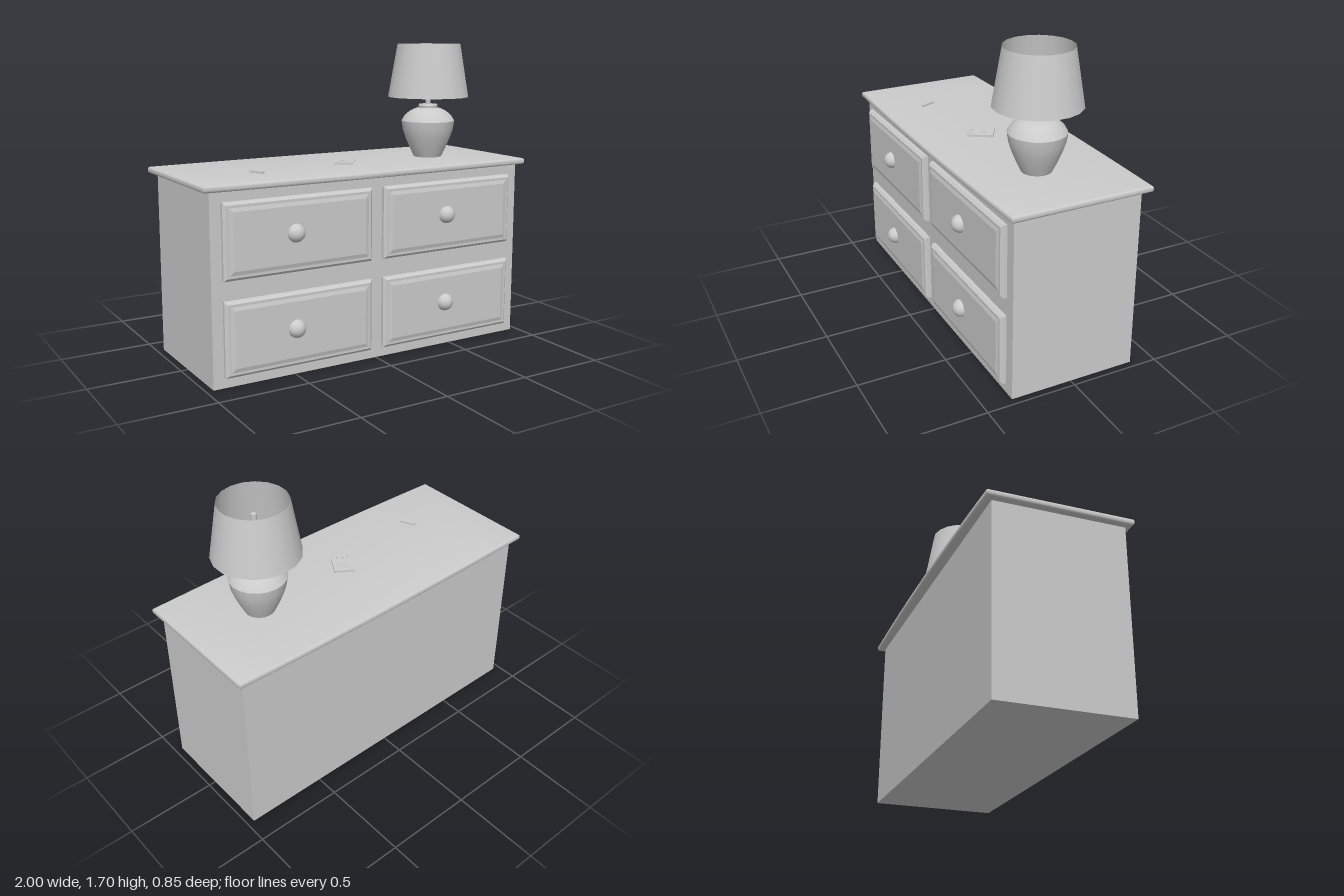
import * as THREE from 'three';
import { toCreasedNormals } from 'three/addons/utils/BufferGeometryUtils.js';

const material = new THREE.MeshStandardMaterial({ color: 0xcccccc });
const openMaterial = new THREE.MeshStandardMaterial({ color: 0xcccccc, side: THREE.DoubleSide });

function add(parent, name, geometry, x = 0, y = 0, z = 0, mat = material) {
  const mesh = new THREE.Mesh(geometry, mat);
  mesh.name = name;
  mesh.position.set(x, y, z);
  parent.add(mesh);
  return mesh;
}

// Rectangular panel stepped by [inset, z] sections and closed at the front
function steppedPanel(width, height, sections) {
  const rings = sections.map(([inset, z]) => {
    const w = width / 2 - inset, h = height / 2 - inset;
    return [[-w, -h, z], [w, -h, z], [w, h, z], [-w, h, z]];
  });
  const pos = [];
  const quad = (a, b, c, d) => pos.push(...a, ...b, ...c, ...a, ...c, ...d);
  for (let i = 0; i < rings.length - 1; i++) {
    for (let k = 0; k < 4; k++) {
      const n = (k + 1) % 4;
      quad(rings[i][k], rings[i][n], rings[i + 1][n], rings[i + 1][k]);
    }
  }
  quad(...rings[rings.length - 1]);
  const geometry = new THREE.BufferGeometry();
  geometry.setAttribute('position', new THREE.Float32BufferAttribute(pos, 3));
  geometry.computeVertexNormals();
  return geometry;
}

function lathe(points, segments) {
  const profile = points.map(([r, y]) => new THREE.Vector2(r, y));
  return toCreasedNormals(new THREE.LatheGeometry(profile, segments), 0.5);
}

// Table top with gently bowed front and back and a rounded edge
function topGeometry() {
  const shape = new THREE.Shape();
  shape.moveTo(-1, -0.375);
  shape.quadraticCurveTo(0, -0.41, 1, -0.375);
  shape.lineTo(1, 0.41);
  shape.quadraticCurveTo(0, 0.44, -1, 0.41);
  shape.closePath();
  const geometry = new THREE.ExtrudeGeometry(shape, {
    depth: 0.011, bevelThickness: 0.012, bevelSize: 0.012, bevelOffset: -0.012,
    bevelSegments: 3, curveSegments: 8,
  });
  geometry.rotateX(-Math.PI / 2);
  return toCreasedNormals(geometry, 0.6);
}

export function createModel() {
  const model = new THREE.Group();
  model.name = 'dresserWithLamp';

  // Cabinet
  add(model, 'cabinetBody', new THREE.BoxGeometry(1.92, 1.01, 0.714), 0, 0.505, -0.013);
  add(model, 'cabinetTop', topGeometry(), 0, 1.017, 0);

  // Drawers with knobs
  const panel = steppedPanel(0.86, 0.396, [[0, 0.34], [0, 0.362], [0.014, 0.375], [0.028, 0.375], [0.048, 0.381]]);
  const knob = new THREE.SphereGeometry(0.049, 20, 14);
  for (const [x, knobX] of [[-0.47, -0.505], [0.465, 0.44]]) {
    for (const [y, knobY] of [[0.253, 0.258], [0.753, 0.762]]) {
      const drawer = new THREE.Group();
      drawer.name = 'drawer';
      add(drawer, 'drawerFront', panel, x, y, 0);
      add(drawer, 'drawerKnob', knob, knobX, knobY, 0.377);
      model.add(drawer);
    }
  }

  // Lamp
  const lamp = new THREE.Group();
  lamp.name = 'lamp';
  lamp.position.set(0.572, 0, 0.007);
  model.add(lamp);
  add(lamp, 'lampBase', lathe([
    [0, 1.038], [0.08, 1.038], [0.105, 1.09], [0.13, 1.15], [0.147, 1.2], [0.155, 1.25],
    [0.135, 1.283], [0.105, 1.308], [0.07, 1.324], [0.054, 1.326], [0.056, 1.34], [0.052, 1.347], [0, 1.347],
  ], 20));
  add(lamp, 'lampStem', new THREE.CylinderGeometry(0.015, 0.015, 0.28, 12), 0, 1.48, 0);
  add(lamp, 'lampShade', new THREE.CylinderGeometry(0.183, 0.235, 0.305, 18, 1, true), 0, 1.543, 0, openMaterial);

  // Small pen stub
  const pen = add(model, 'penStub', new THREE.BoxGeometry(0.016, 0.012, 0.09), -0.588, 1.045, 0.104);
  pen.rotation.y = 0.41;

  // Small flat case with a row of sticks at one edge
  const pack = new THREE.Group();
  pack.name = 'smallCase';
  pack.position.set(-0.008, 1.039, 0.016);
  pack.rotation.y = -0.56;
  model.add(pack);
  add(pack, 'caseBody', new THREE.BoxGeometry(0.115, 0.014, 0.115), 0, 0.007, 0);
  for (let i = 0; i < 3; i++) {
    add(pack, 'caseInlay', new THREE.BoxGeometry(0.014, 0.004, 0.035), -0.016 + i * 0.019, 0.015, 0);
  }
  for (let i = 0; i < 4; i++) {
    add(pack, 'caseStick', new THREE.BoxGeometry(0.018, 0.01, 0.045), -0.045 + i * 0.03, 0.006, 0.066);
  }
  return model;
}
